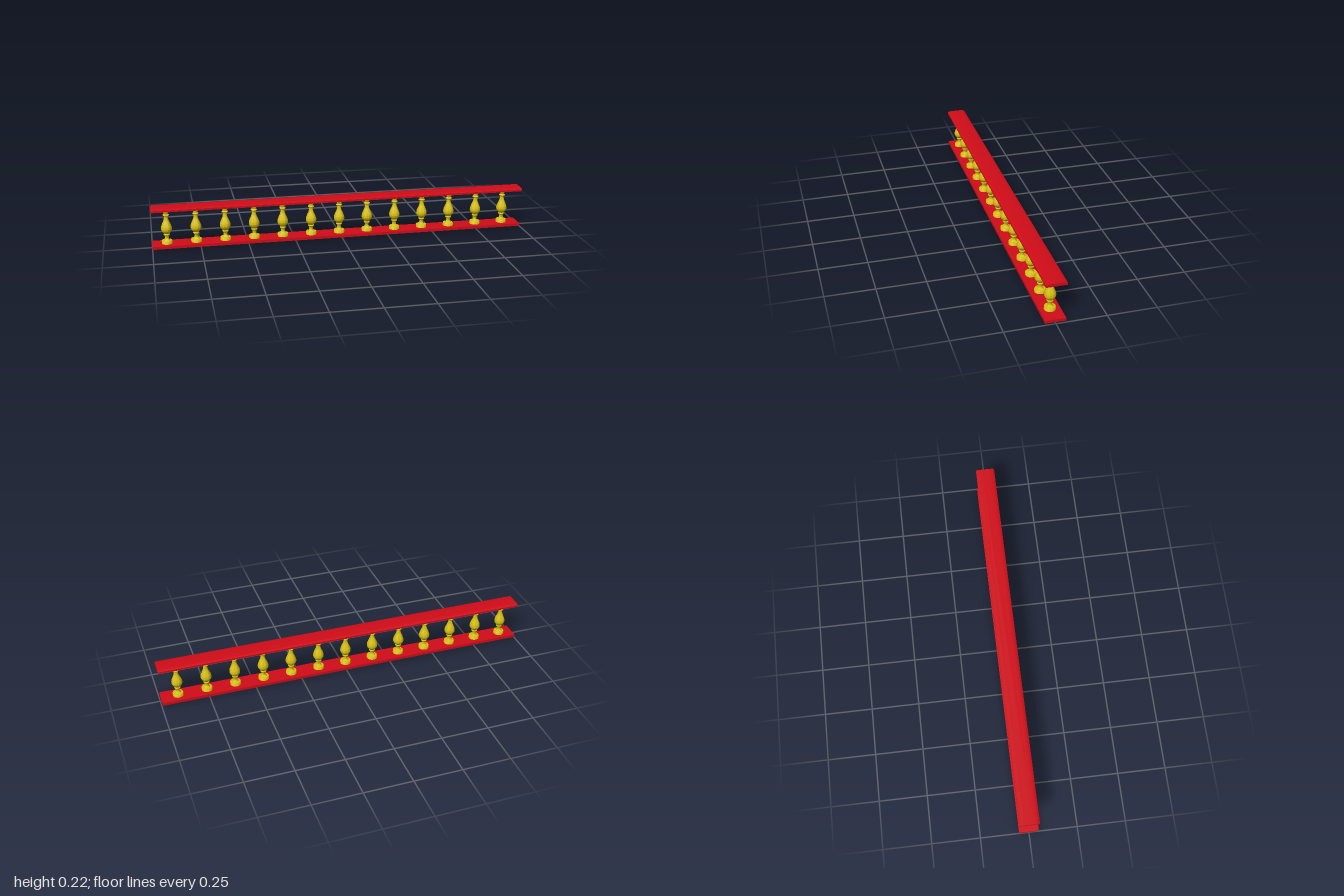
import * as THREE from 'three';
import { toCreasedNormals } from 'three/addons/utils/BufferGeometryUtils.js';

const red = new THREE.MeshStandardMaterial({ color: 0xd00c18 });
const yellow = new THREE.MeshStandardMaterial({ color: 0xd8c010 });

// Turned baluster: [radius, height] joints, with the belly smoothed by a spline
function balusterGeometry() {
  const v = ([r, y]) => new THREE.Vector2(r, y);
  const base = [[0.028, 0], [0.028, 0.035], [0.0265, 0.037], [0.017, 0.038], [0.015, 0.041], [0.0115, 0.045],
    [0.0105, 0.052], [0.0105, 0.059], [0.013, 0.063], [0.0155, 0.065], [0.0165, 0.068], [0.0155, 0.071],
    [0.0135, 0.073]].map(v);
  const belly = new THREE.SplineCurve([[0.0135, 0.074], [0.021, 0.082], [0.0265, 0.091], [0.0283, 0.1],
    [0.0265, 0.113], [0.02, 0.13], [0.0135, 0.146], [0.0105, 0.16], [0.0105, 0.168]].map(v)).getPoints(24);
  const top = [[0.014, 0.171], [0.0165, 0.173], [0.0165, 0.176], [0.014, 0.178], [0.0115, 0.181],
    [0.0125, 0.186], [0.0145, 0.189], [0.014, 0.191], [0.019, 0.194], [0.025, 0.198], [0.0275, 0.201],
    [0.028, 0.206]].map(v);
  return toCreasedNormals(new THREE.LatheGeometry([...base, ...belly, ...top], 32), 0.7);
}

// Rail section (z, y) run along x from x0 to x1
function rail(name, shape, x0, x1) {
  const geo = new THREE.ExtrudeGeometry(shape, { depth: x1 - x0, bevelEnabled: false, curveSegments: 8 });
  geo.rotateY(-Math.PI / 2).translate(x1, 0, 0);
  const mesh = new THREE.Mesh(toCreasedNormals(geo, 0.6), red);
  mesh.name = name;
  return mesh;
}

export function createModel() {
  const group = new THREE.Group();
  group.name = 'balustrade';
  const w = 0.051;

  // Flat bottom rail
  const flat = new THREE.Shape();
  flat.moveTo(-w, 0.005).lineTo(w, 0.005).lineTo(w, 0.02).lineTo(-w, 0.02).closePath();
  group.add(rail('bottomRail', flat, -1, 0.995));

  // Handrail with a softly crowned top
  const crowned = new THREE.Shape();
  crowned.moveTo(-w, 0.204).lineTo(w, 0.204).lineTo(w, 0.2145);
  crowned.bezierCurveTo(w - 0.004, 0.218, 0.035, 0.22, 0.022, 0.22);
  crowned.lineTo(-0.022, 0.22);
  crowned.bezierCurveTo(-0.035, 0.22, -w + 0.004, 0.218, -w, 0.2145);
  crowned.closePath();
  group.add(rail('handrail', crowned, -1, 1));

  // Row of balusters
  const geo = balusterGeometry();
  for (let i = 0; i < 13; i++) {
    const baluster = new THREE.Mesh(geo, yellow);
    baluster.name = `baluster${i + 1}`;
    baluster.position.x = -0.923 + i * 0.1523;
    group.add(baluster);
  }
  return group;
}
